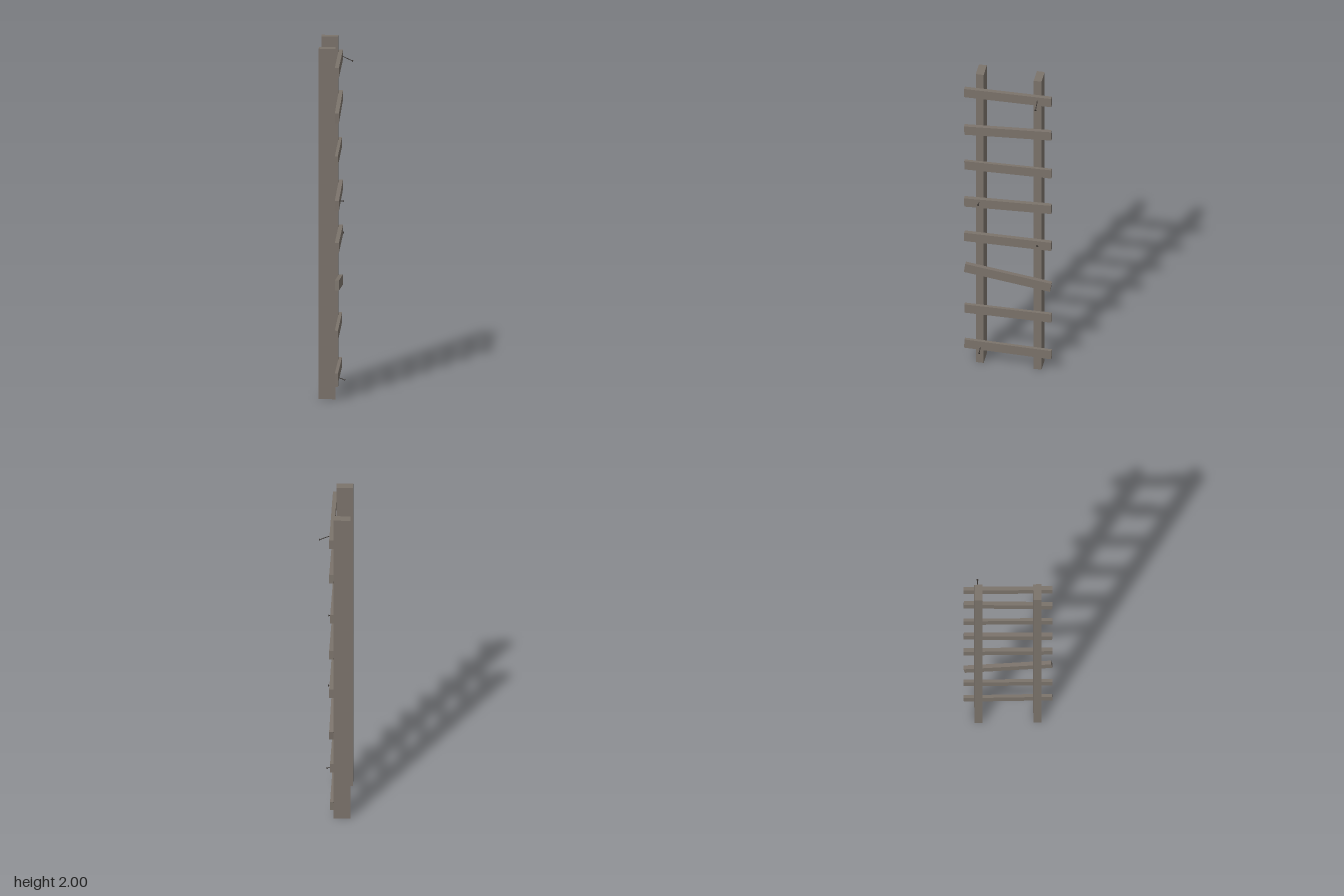
import * as THREE from 'three';

export function createModel() {
  const group = new THREE.Group();
  const wood = new THREE.MeshStandardMaterial({ color: 0x7b736b });
  wood.name = 'weathered wood';
  const iron = new THREE.MeshStandardMaterial({ color: 0x3f3a36 });
  iron.name = 'dark iron';

  const box = (name, x0, x1, h, d, y, z, tilt = 0) => {
    const mesh = new THREE.Mesh(new THREE.BoxGeometry(x1 - x0, h, d), wood);
    mesh.name = name;
    mesh.position.set((x0 + x1) / 2, y, z);
    mesh.rotation.x = tilt;
    group.add(mesh);
  };

  // Upright rails
  box('frontRail', -0.09, 0.003, 2, 0.045, 1, 0.163);
  box('backRail', -0.09, 0.003, 2, 0.045, 1, -0.166);

  // Crooked rungs: centre height, rise towards the back, outer face
  const rungs = [
    [0.127, -0.011, 0.021], [0.376, 0, 0.021], [0.627, -0.07, 0.026], [0.877, 0, 0.026],
    [1.125, 0.018, 0.026], [1.373, 0.006, 0.02], [1.63, 0.029, 0.026], [1.876, 0, 0.026],
  ];
  rungs.forEach(([y, rise, x1], i) =>
    box(`rung${i + 1}`, 0.003, x1, 0.057, 0.495, y, 0, Math.atan(rise / 0.495)));

  // Loose nails: from the rung out to the head
  const addNail = (name, from, to) => {
    const a = new THREE.Vector3(...from), b = new THREE.Vector3(...to);
    const dir = b.clone().sub(a);
    const length = dir.length();
    const nail = new THREE.Group();
    nail.name = name;
    const shaft = new THREE.Mesh(new THREE.CylinderGeometry(0.0022, 0.0022, length, 6), iron);
    shaft.name = 'nailShaft';
    shaft.position.y = length / 2;
    const head = new THREE.Mesh(new THREE.CylinderGeometry(0.006, 0.006, 0.003, 8), iron);
    head.name = 'nailHead';
    head.position.y = length - 0.0015;
    nail.add(shaft, head);
    nail.position.copy(a);
    nail.quaternion.setFromUnitVectors(new THREE.Vector3(0, 1, 0), dir.normalize());
    group.add(nail);
  };
  addNail('topNail', [0.01, 1.89, -0.169], [0.085, 1.856, -0.17]);
  addNail('upperNail', [0.01, 1.126, 0.163], [0.05, 1.127, 0.163]);
  addNail('middleNail', [0.01, 0.877, -0.167], [0.034, 0.877, -0.17]);
  addNail('bottomNail', [0.01, 0.122, 0.157], [0.057, 0.104, 0.156]);

  return group;
}
